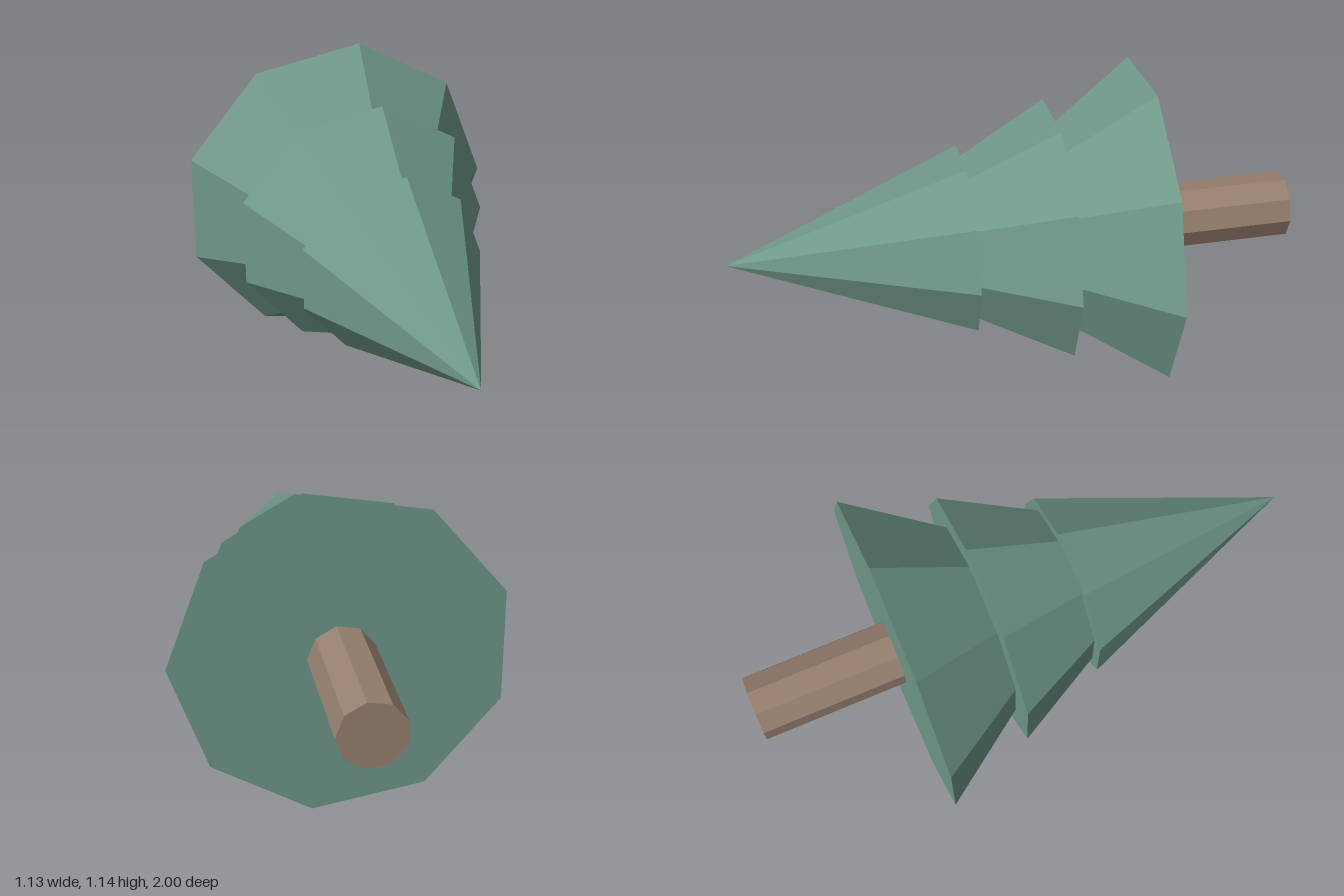
import * as THREE from 'three';

const SIDES = 9;

// Nine-sided cone or cylinder lying along z, with one corner pointing to +x
function lying(name, rFront, rBack, zFront, zBack, material) {
  const geometry = new THREE.CylinderGeometry(
    rFront, rBack, zFront - zBack, SIDES, 1, false, Math.PI / 2);
  geometry.rotateX(Math.PI / 2);
  const mesh = new THREE.Mesh(geometry, material);
  mesh.name = name;
  mesh.position.z = (zFront + zBack) / 2;
  return mesh;
}

export function createModel() {
  const foliage = new THREE.MeshStandardMaterial({ color: 0x6f9889 });
  foliage.name = 'foliage green';
  foliage.flatShading = true;
  const bark = new THREE.MeshStandardMaterial({ color: 0x97806f });
  bark.name = 'bark brown';
  bark.flatShading = true;

  const tree = new THREE.Group();
  tree.name = 'lyingTree';
  tree.position.set(-0.0175, 0.573, 0);

  // Three overlapping tiers: name, base radius, tip z, base z
  const tiers = [
    ['topFoliage', 0.3325, 1, 0.162],
    ['middleFoliage', 0.4625, 0.687, -0.16],
    ['bottomFoliage', 0.58, 0.335, -0.482],
  ];
  for (const [name, radius, tip, base] of tiers) {
    tree.add(lying(name, 0, radius, tip, base, foliage));
  }

  // Trunk
  tree.add(lying('trunk', 0.117, 0.117, -0.482, -1, bark));

  const model = new THREE.Group();
  model.name = 'model';
  model.add(tree);
  return model;
}
